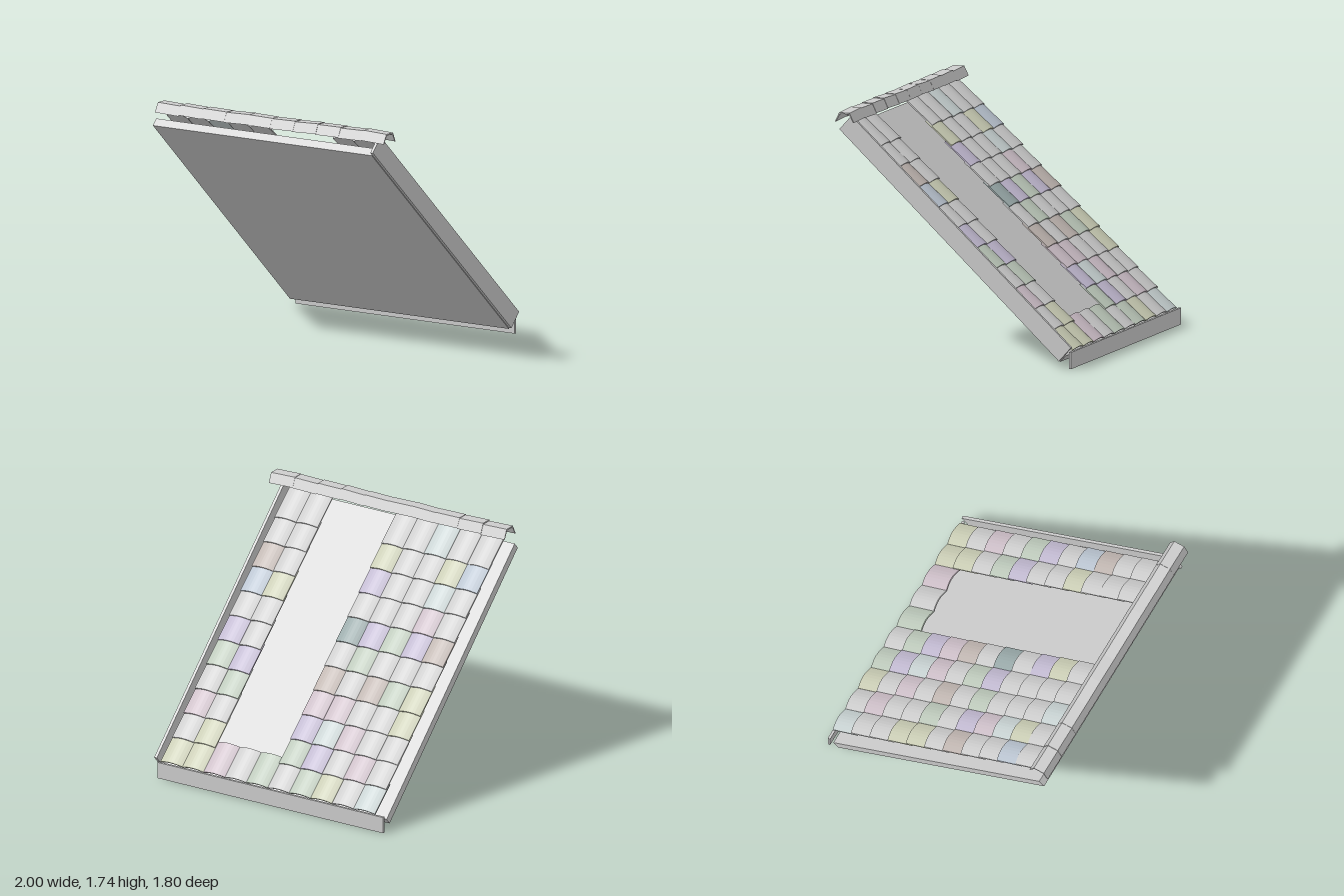
import * as THREE from 'three';

const GREY = 0xcccccc;
const material = (color = GREY) => new THREE.MeshStandardMaterial({ color, side: THREE.DoubleSide });

function seeded(seed) {
  return () => {
    seed = (seed * 16807) % 2147483647;
    return seed / 2147483647 - 0.5;
  };
}

function box(name, x0, x1, y0, y1, z0, z1) {
  const mesh = new THREE.Mesh(new THREE.BoxGeometry(x1 - x0, y1 - y0, z1 - z0), material());
  mesh.position.set((x0 + x1) / 2, (y0 + y1) / 2, (z0 + z1) / 2);
  mesh.name = name;
  return mesh;
}

// Tile: a shallow arch of even thickness, extruded up the slope
function tileGeometry(width, length, rise, thickness) {
  const steps = 8;
  const upper = [], lower = [];
  for (let i = 0; i <= steps; i++) {
    const t = i / steps;
    const x = (t - 0.5) * width;
    const y = rise * (Math.sin(Math.PI * t) - 1);
    upper.push(new THREE.Vector2(x, y));
    lower.unshift(new THREE.Vector2(x, y - thickness));
  }
  return new THREE.ExtrudeGeometry(new THREE.Shape([...upper, ...lower]), { depth: length, bevelEnabled: false });
}

// Ridge cap: a thin bent sheet with a flat top, extruded along the ridge
function ridgeGeometry(length) {
  const outer = [[-0.074, -0.068], [-0.04, 0], [0.04, 0], [0.074, -0.068]];
  const inner = [[0.066, -0.068], [0.035, -0.01], [-0.035, -0.01], [-0.066, -0.068]];
  const shape = new THREE.Shape([...outer, ...inner].map(p => new THREE.Vector2(...p)));
  const geometry = new THREE.ExtrudeGeometry(shape, { depth: length, bevelEnabled: false });
  return geometry.translate(0, 0, -length / 2).rotateY(Math.PI / 2);
}

export function createModel() {
  const model = new THREE.Group();
  model.name = 'roofPanel';
  const random = seeded(4217);

  // Sloping frame: local z runs up the slope, local y stands off it
  const slope = new THREE.Group();
  slope.name = 'slope';
  slope.position.y = 0.85;
  slope.rotation.x = -Math.atan2(1.52, 1.68);
  model.add(slope);

  slope.add(box('roofDeck', -1, 0.89, -0.06, 0, -1.133, 1.133));
  slope.add(box('bargeBoard', 0.89, 0.912, -0.054, 0.085, -1.128, 1.163));

  // Tile colours, one row per course from the eaves up; dots are bare deck
  const colors = {
    w: 0xcccccc, c: 0xc6d0d0, b: 0xb9c3cf, v: 0xc0b8cf, p: 0xcbbdc6,
    y: 0xc9ccb4, t: 0xbfb5b0, g: 0xbcc8ba, d: 0x98a8a8,
  };
  const courses = [
    'cwygwgwpyy', 'wpwvg...yw', 'wwpcv...wp', 'ywwpp...gw', 'ygtwt...vg', 'wwwgw...wv',
    'tvgvd...ww', 'wpwww...yb', 'wcwwv...wt', 'bywwy...ww', 'wwcww...ww',
  ];
  const materials = {};
  for (const key in colors) materials[key] = material(colors[key]);

  const tiles = new THREE.Group();
  tiles.name = 'tiles';
  const tile = tileGeometry(0.181, 0.256, 0.02, 0.01);
  courses.forEach((course, row) => {
    [...course].forEach((key, column) => {
      if (key === '.') return;
      const mesh = new THREE.Mesh(tile, materials[key]);
      mesh.name = 'tile';
      mesh.position.set(-0.84 + column * 0.179, 0.083 + random() * 0.004, -1.138 + row * 0.201);
      mesh.rotation.set(0.05, 0, random() * 0.03);
      tiles.add(mesh);
    });
  });
  slope.add(tiles);

  // Row of slightly uneven ridge caps
  const ridge = new THREE.Group();
  ridge.name = 'ridge';
  const cap = ridgeGeometry(0.2);
  for (let i = 0; i < 10; i++) {
    const mesh = new THREE.Mesh(cap, material());
    mesh.name = 'ridgeCap';
    mesh.position.set(-0.871 + i * 0.197, 1.732 + random() * 0.004, 0.82);
    mesh.rotation.z = random() * 0.08;
    ridge.add(mesh);
  }
  model.add(ridge);

  // Upright board at the eaves
  model.add(box('eavesBoard', -1, 0.89, 0, 0.12, -0.886, -0.868));
  return model;
}
